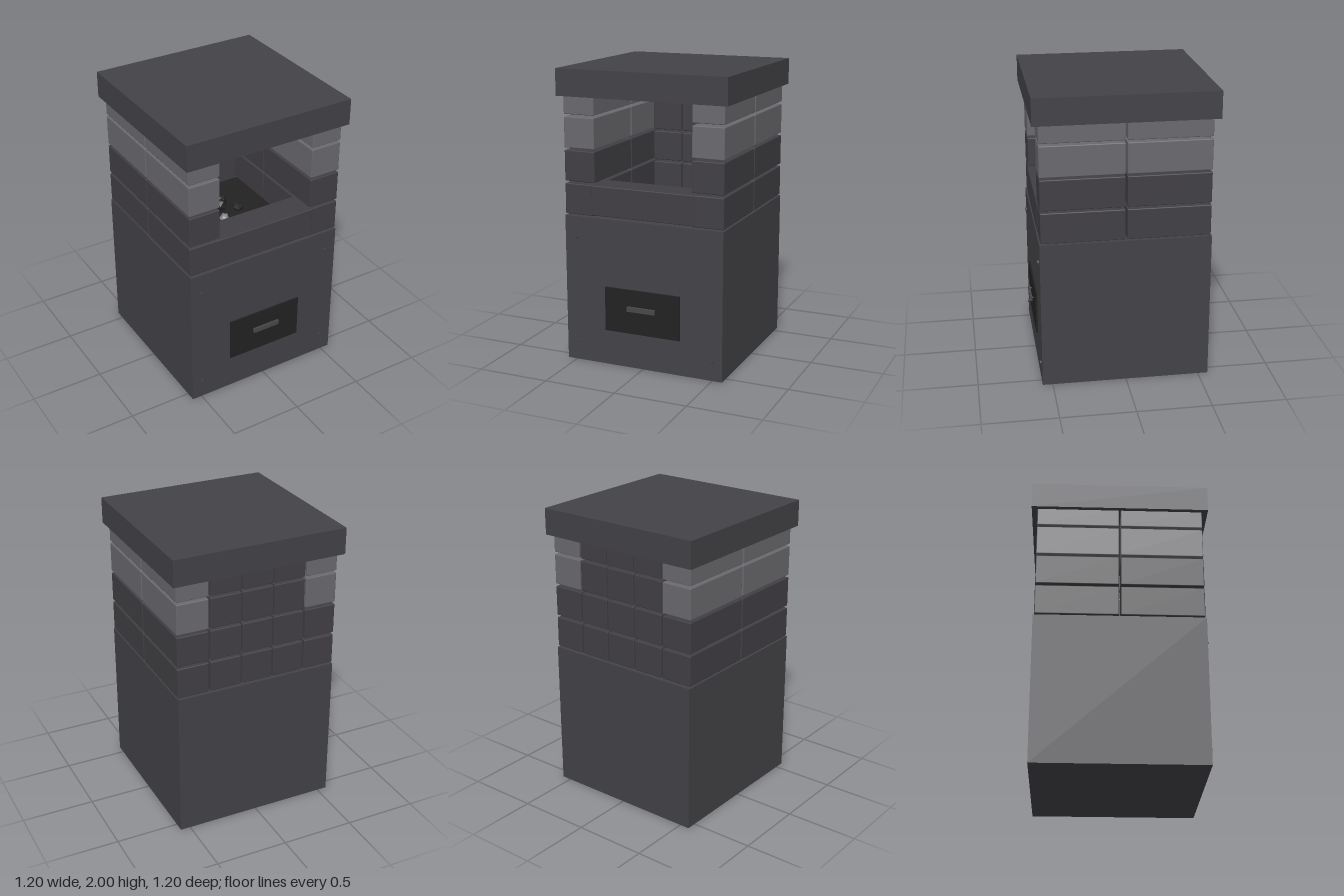
import * as THREE from 'three';
import { RoundedBoxGeometry } from 'three/addons/geometries/RoundedBoxGeometry.js';

const mat = (name, color) => Object.assign(new THREE.MeshStandardMaterial({ color }), { name });

export function createModel() {
  const casing = mat('casing grey', 0x434247);
  const darkBrick = mat('dark brick', 0x413f44);
  const lightBrick = mat('light brick', 0x6a696e);
  const black = mat('black iron', 0x222222);
  const handleGrey = mat('handle grey', 0x48474b);
  const ash = mat('ash grey', 0x858488);
  const model = new THREE.Group();
  model.name = 'brickForge';

  const add = (name, geometry, material, x, y, z, parent = model) => {
    const mesh = new THREE.Mesh(geometry, material);
    mesh.name = name;
    mesh.position.set(x, y, z);
    parent.add(mesh);
    return mesh;
  };
  // Box given by its limits on each axis, with an optional softened edge
  const block = (name, material, [x0, x1], [y0, y1], [z0, z1], radius = 0, parent = model) => {
    const size = [x1 - x0, y1 - y0, z1 - z0];
    const geometry = radius ? new RoundedBoxGeometry(...size, 1, radius) : new THREE.BoxGeometry(...size);
    return add(name, geometry, material, (x0 + x1) / 2, (y0 + y1) / 2, (z0 + z1) / 2, parent);
  };

  // Cabinet and roof slab
  block('base', casing, [-0.568, 0.568], [0, 1.015], [-0.568, 0.568]);
  block('roofSlab', casing, [-0.6, 0.6], [1.82, 2], [-0.6, 0.6]);

  // Ash door with its handle
  block('ashDoor', black, [-0.272, 0.272], [0.245, 0.55], [0.566, 0.58]);
  block('doorHandle', handleGrey, [-0.1, 0.1], [0.407, 0.44], [0.589, 0.604]);
  for (const x of [-0.08, 0.08]) {
    const post = add('handlePost', new THREE.CylinderGeometry(0.006, 0.006, 0.014, 8), handleGrey, x, 0.423, 0.584);
    post.rotation.x = Math.PI / 2;
  }

  // Corner rivets on the front panel
  for (const x of [-0.49, 0.49]) for (const y of [0.13, 0.87]) {
    const rivet = add('rivet', new THREE.CylinderGeometry(0.014, 0.014, 0.014, 10), casing, x, y, 0.572);
    rivet.rotation.x = Math.PI / 2;
  }

  // Brick courses: two long bricks per side wall, three across the back
  const bricks = new THREE.Group();
  bricks.name = 'brickwork';
  model.add(bricks);
  for (let row = 0; row < 4; row++) {
    const y0 = 1.025 + row * 0.224;
    const ys = [y0, row === 3 ? 1.83 : y0 + 0.208];
    for (const side of [-1, 1]) {
      const xs = side < 0 ? [-0.568, -0.347] : [0.347, 0.568];
      for (const zs of [[0.006, 0.56], [-0.56, -0.006]])
        block('sideBrick', row < 2 ? darkBrick : lightBrick, xs, ys, zs, 0.006, bricks);
    }
    for (const x of [-0.226, 0, 0.226])
      block('backBrick', darkBrick, [x - 0.109, x + 0.109], ys, [-0.56, -0.35], 0.006, bricks);
  }
  block('frontSill', darkBrick, [-0.37, 0.37], [1.03, 1.233], [0.36, 0.564], 0.006);

  // Hearth plate and the small heap of coals
  block('hearthPlate', black, [-0.36, 0.36], [1.013, 1.028], [-0.35, 0.43]);
  const coals = new THREE.Group();
  coals.name = 'coals';
  model.add(coals);
  const heap = [
    [-0.18, -0.01, 0.045], [-0.08, 0.02, 0.045], [0.02, -0.03, 0.05], [0.12, 0.03, 0.042],
    [-0.04, 0.11, 0.038], [0.07, -0.11, 0.04], [-0.1, -0.1, 0.038],
  ];
  heap.forEach(([x, z, r], i) => {
    const coal = add('coal', new THREE.IcosahedronGeometry(r, 0), i % 3 === 1 ? ash : black, x, 1.025 + r * 0.7, z, coals);
    coal.rotation.set(i * 0.9, i * 1.7, i * 0.5);
    coal.scale.y = 0.85;
  });

  return model;
}
